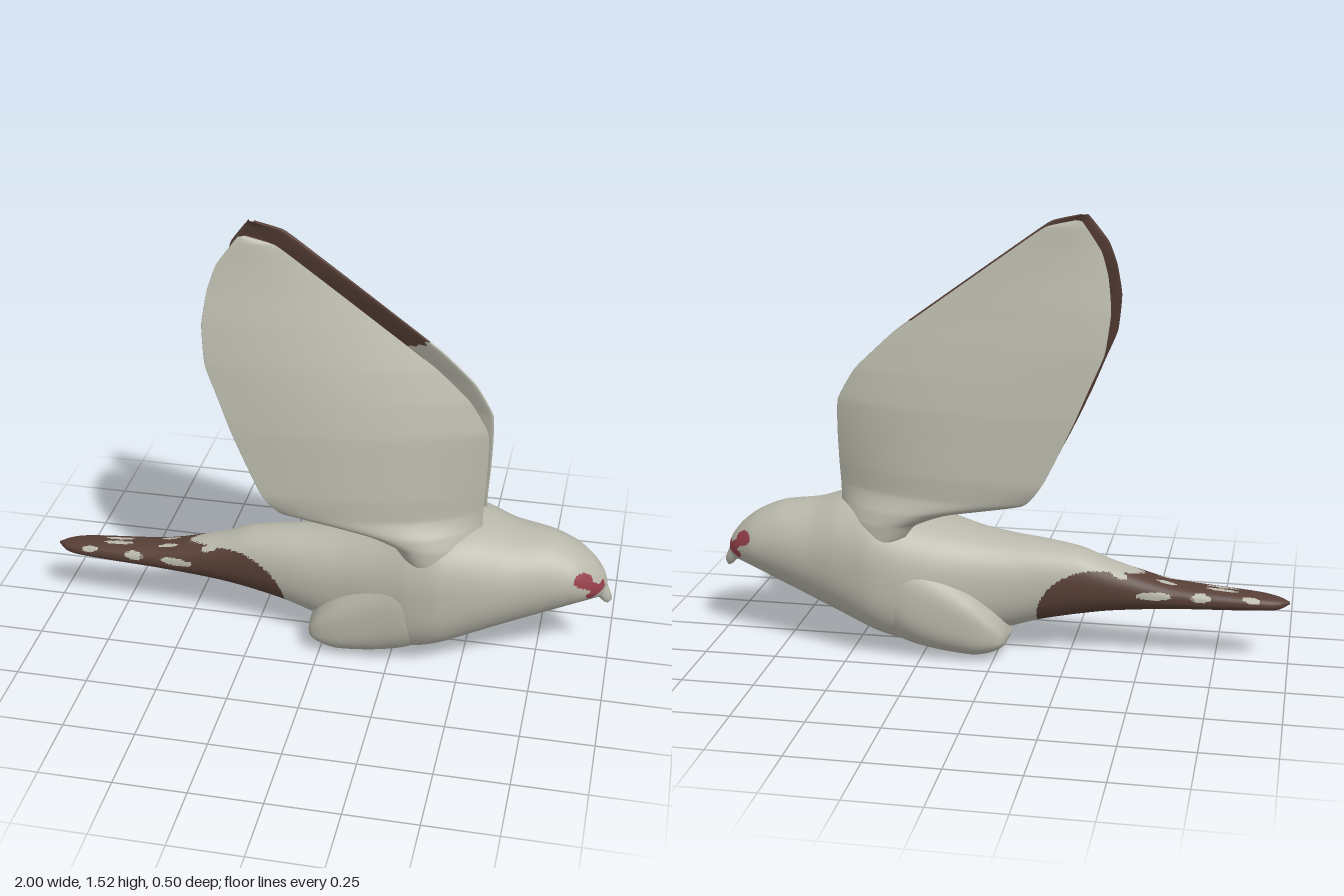
import * as THREE from 'three';

const plumage = new THREE.MeshStandardMaterial({ color: 0xb8b7aa });
plumage.name = 'pale grey plumage';
const brown = new THREE.MeshStandardMaterial({ color: 0x573f36 });
brown.name = 'dark brown feathers';
const red = new THREE.MeshStandardMaterial({ color: 0x96404a });
red.name = 'red eye patch';
const materials = [plumage, brown, red];
const { smoothstep, lerp, clamp } = THREE.MathUtils;

// Closed-ring surface: point(u, j) gives vertices, paint(centre, u, j) picks a material index
function loft(name, rows, ring, point, paint = () => 0) {
  const pts = [];
  for (let i = 0; i <= rows; i++) {
    for (let j = 0; j < ring; j++) pts.push(point(i / rows, j));
  }
  const lists = [[], [], []];
  const centre = new THREE.Vector3();
  for (let i = 0; i < rows; i++) {
    for (let j = 0; j < ring; j++) {
      const a = i * ring + j, b = a + ring;
      const c = (i + 1) * ring + (j + 1) % ring, d = c - ring;
      for (const tri of [[a, b, c], [a, c, d]]) {
        centre.set(0, 0, 0);
        tri.forEach((k) => centre.add(pts[k]));
        centre.divideScalar(3);
        lists[paint(centre, (i + 0.5) / rows, j)].push(...tri);
      }
    }
  }
  const geo = new THREE.BufferGeometry().setFromPoints(pts);
  geo.setIndex(lists.flat());
  let start = 0;
  lists.forEach((list, m) => {
    if (list.length) geo.addGroup(start, list.length, m);
    start += list.length;
  });
  geo.computeVertexNormals();
  const mesh = new THREE.Mesh(geo, materials);
  mesh.name = name;
  return mesh;
}

// Smooth interpolation of a table of rows, all columns sharing one parameter
function table(rows, tension = 0.4) {
  const curve = (p, q, r) => new THREE.CatmullRomCurve3(
    rows.map((s) => new THREE.Vector3(s[p], s[q], s[r])), false, 'catmullrom', tension);
  const a = curve(0, 1, 2), b = curve(0, 3, rows[0].length - 1);
  return (u) => {
    const v = a.getPoint(u), w = b.getPoint(u);
    return [v.x, v.y, v.z, w.y, w.z];
  };
}

// Superellipse section from [x, bottom, top, halfWidth, squareness]
function section([x, bottom, top, half, power], angle) {
  const c = Math.cos(angle), s = Math.sin(angle), e = 2 / power;
  return new THREE.Vector3(
    x,
    (top + bottom) / 2 + (top - bottom) / 2 * Math.sign(s) * Math.abs(s) ** e,
    half * Math.sign(c) * Math.abs(c) ** e);
}

const bodyAt = table([
  [-1.0, 0.222, 0.23, 0.003, 2], [-0.96, 0.203, 0.243, 0.034, 2.2],
  [-0.88, 0.197, 0.255, 0.053, 2.2], [-0.6, 0.185, 0.28, 0.07, 2.2],
  [-0.4, 0.165, 0.335, 0.082, 2.2], [-0.28, 0.145, 0.38, 0.095, 2.2],
  [-0.15, 0.118, 0.402, 0.115, 2.2], [-0.05, 0.088, 0.413, 0.135, 2.2],
  [0.07, 0.06, 0.432, 0.163, 2.3], [0.2, 0.04, 0.466, 0.205, 2.5],
  [0.32, 0.035, 0.515, 0.24, 2.6], [0.42, 0.063, 0.542, 0.247, 2.6],
  [0.54, 0.107, 0.538, 0.223, 2.3], [0.65, 0.148, 0.507, 0.187, 2.1],
  [0.78, 0.2, 0.49, 0.147, 2], [0.87, 0.24, 0.452, 0.118, 2],
  [0.93, 0.262, 0.405, 0.083, 2], [0.965, 0.275, 0.36, 0.05, 2],
  [0.98, 0.31, 0.325, 0.006, 2],
]);

// Broad belly, ending behind in a rounded ledge over the tail root
const bellyAt = table([
  [-0.048, 0.075, 0.085, 0.09, 2.5], [-0.035, 0.045, 0.125, 0.165, 2.8],
  [0, 0.02, 0.185, 0.193, 3], [0.07, 0.003, 0.26, 0.211, 3.1],
  [0.2, 0.012, 0.36, 0.228, 2.9], [0.32, 0.034, 0.44, 0.238, 2.5],
  [0.46, 0.1, 0.42, 0.2, 2.2],
]);

// Pale tail flecks on the sides (x, y, radii) and on top (x, z, radii)
const sideFlecks = [[-0.7, 0.243, 0.032, 0.015], [-0.54, 0.245, 0.06, 0.014]];
const topFlecks = [[-0.87, 0.045, 0.03, 0.009], [-0.77, 0.014, 0.05, 0.01],
  [-0.58, 0.025, 0.035, 0.009], [-0.42, 0.055, 0.03, 0.01]];
const inside = (spots, p, q) =>
  spots.some(([a, b, ra, rb]) => ((p - a) / ra) ** 2 + ((q - b) / rb) ** 2 < 1);

// Red patch: a blob behind the eye, an arm to the beak and a bar along the beak base
const redStrokes = [[0.893, 0.377, 0.91, 0.366, 0.022], [0.9, 0.37, 0.945, 0.335, 0.014],
  [0.928, 0.308, 0.968, 0.338, 0.014]].map(([x0, y0, x1, y1, radius]) => ({
  line: new THREE.Line3(new THREE.Vector3(x0, y0, 0), new THREE.Vector3(x1, y1, 0)), radius,
}));
const nearest = new THREE.Vector3();

function paintBody(c, u) {
  const [, bottom, top] = bodyAt(u);
  const h = clamp((c.y - bottom) / (top - bottom), 0, 1);
  if (c.x < -0.14 - 0.36 * h ** 3) {
    const pale = inside(sideFlecks, c.x, c.y) || (h > 0.6 && inside(topFlecks, c.x, Math.abs(c.z)));
    return pale ? 0 : 1;
  }
  if (c.x > 0.85 && Math.abs(c.z) > 0.03) {
    const p = new THREE.Vector3(c.x, c.y, 0);
    const hit = redStrokes.some(({ line, radius }) =>
      line.closestPointToPoint(p, true, nearest).distanceTo(p) < radius);
    if (hit) return 2;
  }
  return 0;
}

const beakAt = table([
  [0.92, 0.28, 0.37, 0.05, 2], [0.955, 0.262, 0.35, 0.038, 2], [0.975, 0.243, 0.322, 0.028, 2],
  [0.99, 0.24, 0.288, 0.016, 2], [1.0, 0.255, 0.265, 0.002, 2],
]);

// Wing rows: height, leading x, trailing x, trailing depth z
const wingAt = table([
  [0.36, 0.55, 0.37, 0.215], [0.44, 0.555, 0.3, 0.226], [0.49, 0.553, 0.26, 0.23],
  [0.535, 0.547, 0.15, 0.234], [0.59, 0.548, -0.11, 0.238], [0.67, 0.553, -0.18, 0.24],
  [0.78, 0.557, -0.235, 0.23], [0.89, 0.553, -0.285, 0.22], [1.0, 0.49, -0.33, 0.203],
  [1.11, 0.375, -0.375, 0.185], [1.24, 0.2, -0.39, 0.155], [1.35, 0.05, -0.376, 0.122],
  [1.43, -0.06, -0.35, 0.1], [1.5, -0.16, -0.3, 0.083], [1.525, -0.26, -0.28, 0.075],
], 0.25);
const HALF = 36;

// Curved sheet: outer face runs from leading to trailing edge, inner face returns
function wingPoint(u, j) {
  const [y, lead, trail, deep] = wingAt(u);
  const s = j < HALF ? j / HALF : 2 - j / HALF;
  const t = (1 - Math.cos(Math.PI * s)) / 2;
  const depth = deep - 0.065;
  // The root is thicker and its rear edge tucks into the body
  const root = 1 - smoothstep(y, 0.48, 0.66);
  const bend = lerp(3, 2, smoothstep(y, 0.6, 1.3));
  let z = 0.065 + depth * (1 - (1 - t) ** bend - 0.28 * root * t ** 8);
  if (j > HALF) {
    const rise = Math.sin(Math.PI * t);
    z -= 0.018 * rise ** 0.3 + depth * 0.5 * root * rise;
  }
  return new THREE.Vector3(lerp(lead, trail, t), y, z);
}

// Brown inner face, grey towards the root and the lower leading edge
function paintWing(c, u, j) {
  if (j < HALF || c.y < 0.55 || c.x > 0.17 + 0.17 * smoothstep(c.y, 1.05, 1.16)) return 0;
  return inside([[-0.04, 0.625, 0.055, 0.03]], c.x, c.y) ? 0 : 1;
}

export function createModel() {
  const bird = new THREE.Group();
  bird.name = 'bird';

  // Body with head and tail, belly and hooked beak
  const around = (profile, sides) => (u, j) => section(profile(u), j / sides * Math.PI * 2);
  bird.add(loft('bodyAndTail', 320, 72, around(bodyAt, 72), paintBody));
  bird.add(loft('belly', 60, 64, around(bellyAt, 64)));
  bird.add(loft('beak', 20, 20, around(beakAt, 20)));

  // Raised wings, mirrored across the body
  for (const side of [1, -1]) {
    const wing = loft(side > 0 ? 'frontWing' : 'rearWing', 110, HALF * 2, wingPoint, paintWing);
    wing.scale.z = side;
    bird.add(wing);
  }
  return bird;
}
